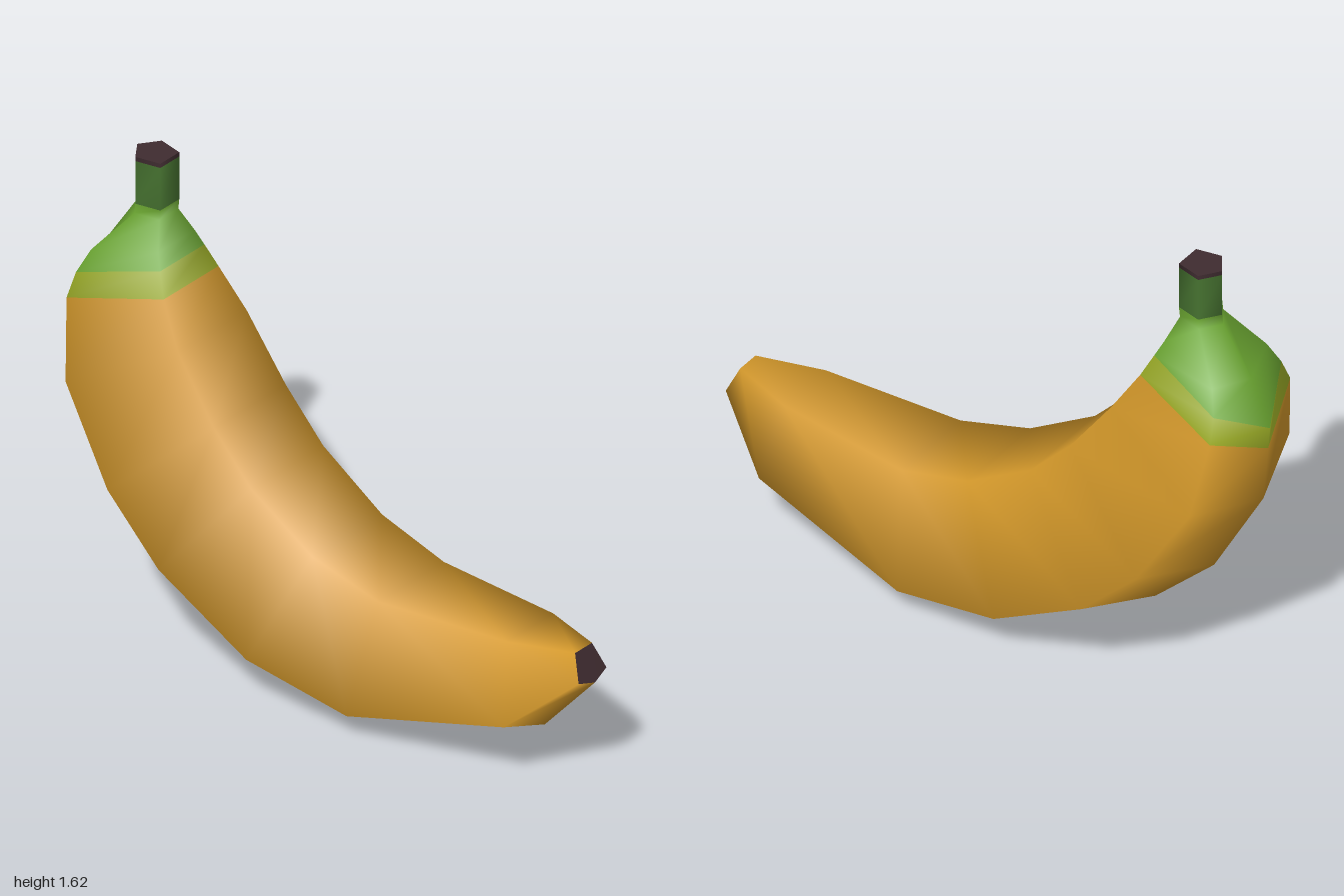
import * as THREE from 'three';

const material = (name, color) => {
  const m = new THREE.MeshStandardMaterial({ color });
  m.name = name;
  return m;
};

// One five-sided cross-section: an outer ridge, two side edges and two inner edges.
// inner / side are [halfWidth, y, z], outer is [y, z], cx shifts the ring sideways.
const ring = (inner, side, outer, cx = 0) => [
  [cx, outer[0], outer[1]],
  [cx - side[0], side[1], side[2]],
  [cx - inner[0], inner[1], inner[2]],
  [cx + inner[0], inner[1], inner[2]],
  [cx + side[0], side[1], side[2]],
];

const stemRing = (y, z = 0) => ring([0.045, y, -0.69 + z], [0.063, y, -0.775 + z], [y, -0.82 + z]);

function buildGeometry(positions, indices) {
  const geometry = new THREE.BufferGeometry();
  geometry.setAttribute('position', new THREE.Float32BufferAttribute(positions.flat(), 3));
  geometry.setIndex(indices);
  return geometry;
}

// Smooth skin through the rings; bands lists [last ring, material index]
function skin(rings, bands) {
  const indices = [];
  for (let i = 0; i < rings.length - 1; i++) {
    for (let j = 0; j < 5; j++) {
      const a = i * 5 + j, b = i * 5 + (j + 1) % 5;
      indices.push(a, b, b + 5, a, b + 5, a + 5);
    }
  }
  const geometry = buildGeometry(rings.flat(), indices);
  geometry.computeVertexNormals();
  let start = 0;
  for (const [last, index] of bands) {
    geometry.addGroup(start * 30, (last - start) * 30, index);
    start = last;
  }
  return geometry;
}

// Flat end closing a ring
function cap(points, flip) {
  const indices = [];
  for (let j = 1; j < 4; j++) indices.push(0, flip ? j + 1 : j, flip ? j : j + 1);
  const geometry = buildGeometry(points, indices);
  geometry.computeVertexNormals();
  return geometry;
}

export function createModel() {
  const peel = material('ripe yellow peel', 0xd3982a);
  const lime = material('yellow green peel', 0x9aab26);
  const green = material('green neck', 0x6eaa33);
  const stem = material('dark green stem', 0x467230);
  const brown = material('dried brown', 0x3f2c30);

  const rings = [
    // blossom end and body
    ring([0.04, 0.505, 0.952], [0.066, 0.42, 0.988], [0.4, 0.998], 0.015),
    ring([0.11, 0.497, 0.74], [0.178, 0.24, 0.785], [0.175, 0.8], 0.012),
    ring([0.155, 0.48, 0.27], [0.247, 0.095, 0.22], [0.005, 0.21], 0.006),
    ring([0.165, 0.55, 0.02], [0.272, 0.165, -0.155], [0.07, -0.2]),
    ring([0.17, 0.7, -0.22], [0.285, 0.36, -0.495], [0.27, -0.57]),
    ring([0.17, 0.86, -0.37], [0.284, 0.565, -0.7], [0.485, -0.79]),
    ring([0.163, 1.07, -0.52], [0.263, 0.87, -0.885], [0.82, -0.975]),
    // lime band
    ring([0.13, 1.21, -0.605], [0.211, 1.13, -0.925], [1.02, -0.993]),
    ring([0.105, 1.285, -0.64], [0.178, 1.21, -0.915], [1.1, -1.0]),
    // neck and stem
    ring([0.087, 1.335, -0.663], [0.143, 1.285, -0.885], [1.26, -0.93]),
    stemRing(1.42, -0.004),
    stemRing(1.455),
    stemRing(1.607),
    stemRing(1.622),
  ];

  const model = new THREE.Group();
  model.name = 'banana';
  const add = (name, geometry, mat) => {
    const mesh = new THREE.Mesh(geometry, mat);
    mesh.name = name;
    model.add(mesh);
  };
  add('fruit', skin(rings, [[7, 0], [8, 1], [11, 2], [12, 3], [13, 4]]),
    [peel, lime, green, stem, brown]);
  add('blossomTip', cap(rings[0], true), brown);
  add('stemCut', cap(rings[rings.length - 1], false), brown);
  return model;
}
